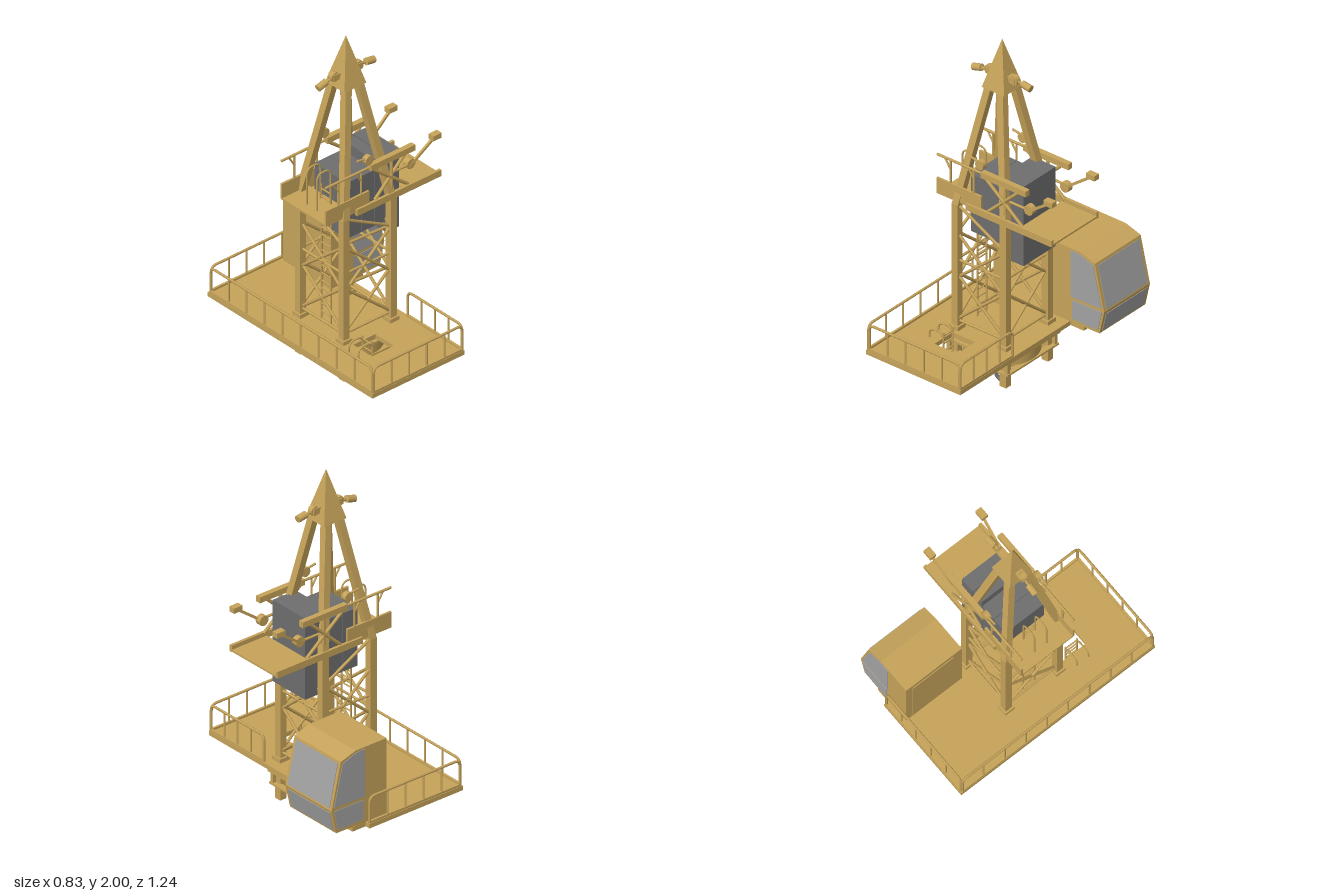
import * as THREE from 'three';

const paint = new THREE.MeshStandardMaterial({ color: 0xc6a35a });
paint.name = 'yellow paint';
const steel = new THREE.MeshStandardMaterial({ color: 0x6e6e6e });
steel.name = 'dark grey';
const glass = new THREE.MeshStandardMaterial({ color: 0xa2a2a2 });
glass.name = 'grey glass';

const V = (x, y, z) => new THREE.Vector3(x, y, z);
const CX = -0.055; // mast axis

export function createModel() {
  const root = new THREE.Group();
  root.name = 'towerCraneTop';

  const add = (name, geo, mat = paint) => {
    const m = new THREE.Mesh(geo, mat);
    m.name = name;
    root.add(m);
    return m;
  };
  // Box from its limits
  const box = (name, x0, x1, y0, y1, z0, z1, mat) =>
    add(name, new THREE.BoxGeometry(x1 - x0, y1 - y0, z1 - z0)
      .translate((x0 + x1) / 2, (y0 + y1) / 2, (z0 + z1) / 2), mat);
  // Round bar between two points
  const rod = (name, a, b, r = 0.005, mat = paint, sides = 8) => {
    const m = add(name, new THREE.CylinderGeometry(r, r, a.distanceTo(b), sides), mat);
    m.position.copy(a).lerp(b, 0.5);
    m.quaternion.setFromUnitVectors(V(0, 1, 0), b.clone().sub(a).normalize());
    return m;
  };
  // Square bar between two points
  const beam = (name, a, b, w, h = w) => {
    const m = add(name, new THREE.BoxGeometry(w, h, a.distanceTo(b)));
    m.position.copy(a).lerp(b, 0.5);
    m.lookAt(b);
    return m;
  };
  const polygon = pts => new THREE.Shape(pts.map(p => new THREE.Vector2(...p)));
  const extrude = (shape, depth) => new THREE.ExtrudeGeometry(shape, { depth, bevelEnabled: false });
  const ladder = (name, x, z, y0, y1) => {
    for (const s of [-1, 1]) rod(name + 'Stile', V(x, y0, z + s * 0.036), V(x, y1, z + s * 0.036), 0.005);
    for (let y = y0 + 0.02; y < y1; y += 0.045) rod(name + 'Rung', V(x, y, z - 0.036), V(x, y, z + 0.036), 0.004);
  };
  // Bent tube: up, across and down with rounded corners
  const hoop = (name, a, b, h, r, bend) => {
    const d = b.clone().sub(a).normalize().multiplyScalar(bend);
    const up = (p, y) => p.clone().setY(p.y + y);
    const a1 = up(a, h - bend), a2 = up(a, h), a3 = a2.clone().add(d);
    const b1 = up(b, h - bend), b2 = up(b, h), b3 = b2.clone().sub(d);
    const path = new THREE.CurvePath();
    path.add(new THREE.LineCurve3(a, a1));
    path.add(new THREE.QuadraticBezierCurve3(a1, a2, a3));
    path.add(new THREE.LineCurve3(a3, b3));
    path.add(new THREE.QuadraticBezierCurve3(b3, b2, b1));
    path.add(new THREE.LineCurve3(b1, b));
    add(name, new THREE.TubeGeometry(path, 90, r, 6));
  };

  // Main platform with ladder hatch
  const deck = polygon([[-0.42, -0.615], [0.185, -0.615], [0.185, 0.62], [-0.42, 0.62]]);
  deck.holes.push(new THREE.Path([[-0.195, -0.215], [-0.05, -0.215], [-0.05, -0.355], [-0.195, -0.355]]
    .map(p => new THREE.Vector2(...p))));
  add('platform', extrude(deck, 0.025).rotateX(-Math.PI / 2).translate(0, 0.313, 0));
  box('cabSupport', 0.18, 0.27, 0.313, 0.338, -0.59, -0.24);

  // Platform railings and kick rails
  const guard = (x0, z0, x1, z1, n) => {
    const a = V(x0, 0.335, z0), b = V(x1, 0.335, z1);
    hoop('railing', a, b, 0.15, 0.007, 0.035);
    beam('kickBoard', a.clone().setY(0.342), b.clone().setY(0.342), 0.012, 0.016);
    for (let i = 1; i < n; i++) {
      const p = a.clone().lerp(b, i / n);
      rod('railingPost', p, p.clone().setY(0.485), 0.005);
    }
  };
  guard(-0.412, -0.605, -0.412, 0.605, 9);
  guard(-0.405, 0.607, 0.177, 0.607, 5);
  guard(-0.405, -0.611, 0.177, -0.611, 5);
  guard(0.177, 0.605, 0.177, 0.2, 4);

  // Hatch ladder with grab hoops
  ladder('hatchLadder', -0.165, 0.287, 0.18, 0.4);
  for (const z of [0.251, 0.323]) hoop('hatchHandrail', V(-0.255, 0.335, z), V(-0.165, 0.335, z), 0.06, 0.005, 0.04);

  // Mast: upright legs, then legs leaning in to the cap
  for (const sx of [-1, 1]) for (const sz of [-1, 1]) {
    const x = CX + sx * 0.155, z = sz * 0.163;
    box('mastLeg', x - 0.02, x + 0.02, 0.12, 1.06, z - 0.02, z + 0.02);
    const g = new THREE.BoxGeometry(0.04, 0.69, 0.04), p = g.attributes.position;
    for (let i = 0; i < p.count; i++) if (p.getY(i) > 0) {
      p.setX(i, p.getX(i) - sx * 0.118);
      p.setZ(i, p.getZ(i) - sz * 0.118);
    }
    g.computeVertexNormals();
    add('leaningLeg', g.translate(x, 1.4, z));
    box('legFoot', x - 0.03, x + 0.03, 0.338, 0.36, z - 0.03, z + 0.03);
  }
  const cap = new THREE.CylinderGeometry(0, 0.102, 0.275, 4, 1).toNonIndexed();
  cap.computeVertexNormals();
  add('mastCap', cap.rotateY(Math.PI / 4).translate(CX, 1.8625, 0));

  // Lattice on all four sides of the mast
  for (const s of [-1, 1]) {
    const faces = [(t, y) => V(CX + t * 0.14, y, s * 0.163), (t, y) => V(CX + s * 0.155, y, t * 0.145)];
    for (const f of faces) {
      for (const y of [0.4, 0.64, 0.88]) {
        if (y > 0.8) { rod('brace', f(-1, 1.05), f(1, y + 0.02), 0.008); continue; }
        rod('brace', f(-1, y), f(1, y + 0.24), 0.008);
        rod('brace', f(1, y), f(-1, y + 0.24), 0.008);
      }
      for (const y of [0.385, 0.735]) rod('crossBar', f(-1, y), f(1, y), 0.007);
      rod('lowerCrossBar', f(-1, 0.183), f(1, 0.183), 0.008);
    }
  }
  ladder('mastLadder', -0.185, 0, 0.35, 1.16);
  for (const z of [-0.038, 0.038]) hoop('ladderHandrail', V(-0.278, 1.08, z), V(-0.19, 1.08, z), 0.21, 0.005, 0.04);

  // Slewing ring and its square frames
  const ring = new THREE.Shape().absarc(0, 0, 0.195, 0, Math.PI * 2);
  ring.holes.push(new THREE.Path().absarc(0, 0, 0.175, 0, Math.PI * 2, true));
  const ringGeo = new THREE.ExtrudeGeometry(ring, { depth: 0.075, bevelEnabled: false, curveSegments: 32 });
  add('slewRing', ringGeo.rotateX(-Math.PI / 2).translate(CX, 0.205, 0));
  const frame = (name, h, w, y0, y1) => {
    for (const s of [-1, 1]) {
      const a = s > 0 ? h - w : -h, b = s > 0 ? h : -h + w;
      box(name, CX - h, CX + h, y0, y1, a, b);
      box(name, CX + a, CX + b, y0, y1, -h + w, h - w);
    }
  };
  frame('upperFrame', 0.205, 0.05, 0.273, 0.285);
  frame('frameWeb', 0.185, 0.012, 0.285, 0.315);
  frame('lowerFrame', 0.2, 0.035, 0.203, 0.213);
  for (const sx of [-1, 1]) for (const sz of [-1, 1])
    box('cornerGusset', CX + sx * 0.185 - 0.01, CX + sx * 0.185 + 0.01, 0.205, 0.28, sz * 0.185 - 0.01, sz * 0.185 + 0.01);

  // Hook block and hook
  add('hookBlock', extrude(polygon([[-0.11, 0.2], [-0.095, 0.11], [-0.023, 0.11], [-0.008, 0.2]]), 0.044).translate(0, 0, -0.022), steel);
  rod('hookShank', V(-0.058, 0.075, 0), V(-0.058, 0.115, 0), 0.009, steel);
  const curl = new THREE.CatmullRomCurve3([[-0.058, 0.09], [-0.068, 0.078], [-0.09, 0.062], [-0.093, 0.035],
    [-0.075, 0.015], [-0.05, 0.014], [-0.032, 0.03], [-0.028, 0.05]].map(p => V(p[0], p[1], 0)));
  add('hook', new THREE.TubeGeometry(curl, 32, 0.01, 8), steel);

  // Ballast slabs
  box('ballast', 0.1, 0.185, 0.83, 1.29, -0.125, 0.125, steel);
  box('ballast', 0.03, 0.098, 0.9, 1.285, -0.122, 0.122, steel);
  box('ballast', -0.06, 0.028, 0.9, 1.23, -0.122, 0.122, steel);
  box('ballast', -0.155, -0.062, 0.9, 1.23, -0.122, 0.122, steel);

  // Upper platform
  box('upperDeck', 0.187, 0.413, 1.06, 1.07, -0.18, 0.18);
  box('upperDeck', -0.335, -0.158, 1.07, 1.08, -0.165, 0.165);
  for (const s of [-1, 1]) {
    box('deckBeam', -0.14, 0.413, 1.057, 1.094, s * 0.175 - 0.008, s * 0.175 + 0.008);
    box('sidePanel', -0.335, -0.05, 1.073, 1.163, s * 0.165 - 0.006, s * 0.165 + 0.006);
    const z = s * 0.165;
    rod('upperRail', V(-0.335, 1.297, z), V(-0.05, 1.297, z), 0.007);
    for (const x of [-0.25, -0.1]) {
      rod('upperPost', V(x, 1.16, z), V(x, 1.297, z), 0.006);
      rod('upperPostStrut', V(x, 1.24, z), V(x - 0.035, 1.295, z), 0.005);
    }
    box('topBeam', -0.045, 0.245, 1.28, 1.313, z - 0.015, z + 0.015);
    rod('topBrace', V(-0.04, 1.29, z), V(0.21, 1.09, z), 0.009);
    rod('topBrace', V(0.2, 1.29, z), V(-0.01, 1.09, z), 0.009);
    rod('topPost', V(0.1, 1.09, z), V(0.1, 1.29, z), 0.009);

    // Pulley on the top beam and the outrigger arm
    rod('pulley', V(CX, 1.347, z - 0.014), V(CX, 1.347, z + 0.014), 0.026, paint, 18);
    rod('pulleyArm', V(CX, 1.355, z), V(-0.125, 1.366, z), 0.006);
    rod('armPulley', V(0.24, 1.19, s * 0.14 - 0.016), V(0.24, 1.19, s * 0.14 + 0.016), 0.028, paint, 18);
    beam('outriggerArm', V(0.22, 1.17, s * 0.15), V(0.395, 1.3, z), 0.013);
    rod('armBracket', V(0.12, 1.19, s * 0.15), V(0.24, 1.19, s * 0.15), 0.007);
    box('armHead', 0.36, 0.415, 1.283, 1.312, z - 0.018, z + 0.018);
  }

  // Floodlights on the cap
  for (const [s, dy] of [[-1, -0.025], [1, -0.005]]) {
    const at = (d, y) => V(CX + s * d, y, 0);
    rod('lampDisc', at(0.08, 1.793).setZ(-0.014), at(0.08, 1.793).setZ(0.014), 0.026, paint, 18);
    box('lampBracket', CX + s * 0.06 - 0.035, CX + s * 0.06 + 0.035, 1.775, 1.81, -0.02, 0.02);
    rod('lampArm', at(0.08, 1.793), at(0.14, 1.788 + dy / 2), 0.007);
    rod('floodlight', at(0.13, 1.79 + dy / 3), at(0.185, 1.783 + dy * 0.7), 0.019, paint, 14);
  }

  // Operator cab
  const Z0 = -0.59, Z1 = -0.235;
  add('cab', extrude(polygon([[0.05, 0.338], [0.19, 0.338], [0.375, 0.342], [0.405, 0.475], [0.345, 0.735],
    [0.25, 0.765], [0.05, 0.765]]), Z1 - Z0).translate(0, 0, Z0));
  const upper = [[0.19, 0.485], [0.39, 0.49], [0.335, 0.722], [0.25, 0.752], [0.19, 0.755]];
  const lower = [[0.2, 0.36], [0.366, 0.358], [0.39, 0.47], [0.2, 0.468]];
  for (const z of [Z0 - 0.003, Z1 - 0.003])
    for (const w of [upper, lower]) add('sideWindow', extrude(polygon(w), 0.006).translate(0, 0, z), glass);
  const pane = (x0, y0, x1, y1) => {
    const m = add('frontWindow', new THREE.BoxGeometry(0.006, Math.hypot(x1 - x0, y1 - y0), 0.32), glass);
    m.position.set((x0 + x1) / 2, (y0 + y1) / 2, (Z0 + Z1) / 2);
    m.rotation.z = Math.atan2(x0 - x1, y1 - y0);
  };
  pane(0.4027, 0.485, 0.3485, 0.72);
  pane(0.3775, 0.353, 0.4016, 0.46);
  box('cabDoor', 0.046, 0.052, 0.36, 0.735, -0.55, -0.29);

  return root;
}
